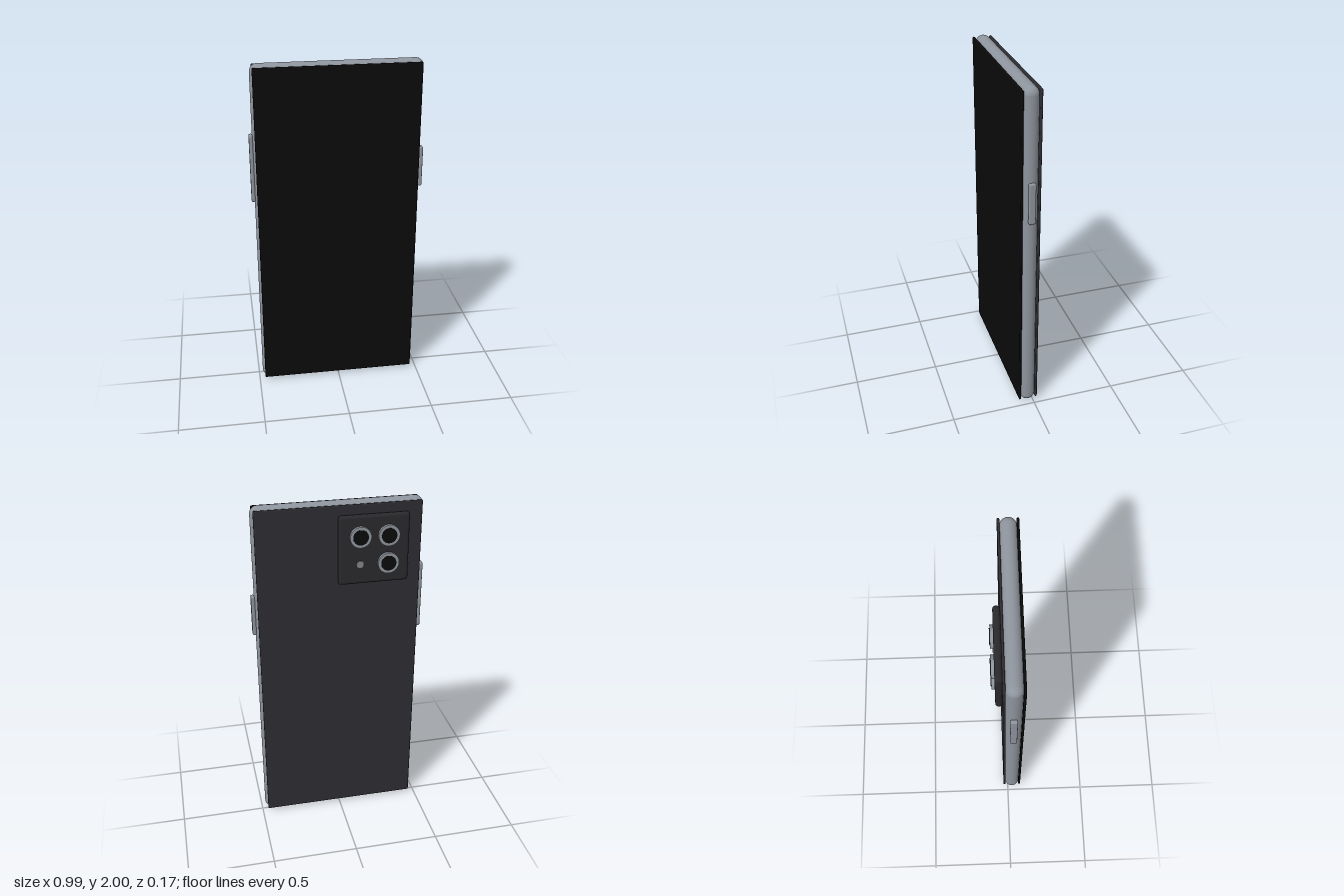
import * as THREE from 'three';
import { RoundedBoxGeometry } from 'three/addons/geometries/RoundedBoxGeometry.js';

const material = (name, color) => {
  const m = new THREE.MeshStandardMaterial({ color });
  m.name = name;
  return m;
};

export function createModel() {
  const phone = new THREE.Group();
  phone.name = 'phone';

  const metal = material('grey metal', 0x8e949d);
  const glass = material('black glass', 0x0a0a0a);
  const backPaint = material('dark back', 0x2d2c31);
  const cameraPaint = material('dark camera housing', 0x29292d);
  const flashPaint = material('flash grey', 0x85858a);

  const add = (name, geometry, mat, x, y, z, parent = phone) => {
    const mesh = new THREE.Mesh(geometry, mat);
    mesh.name = name;
    mesh.position.set(x, y, z);
    parent.add(mesh);
    return mesh;
  };
  const rounded = (w, h, d, r, segments = 4) => new RoundedBoxGeometry(w, h, d, segments, r);
  // disc whose axis runs front to back
  const disc = (r, depth) => new THREE.CylinderGeometry(r, r, depth, 40).rotateX(Math.PI / 2);

  // frame with fully rounded edges, between the two glass plates
  const midZ = 0.028;
  add('frame', rounded(0.957, 2, 0.09, 0.0445, 8), metal, 0, 1, midZ);
  add('screen', rounded(0.932, 1.974, 0.014, 0.0065), glass, 0, 1, 0.078);
  add('backPanel', rounded(0.932, 1.974, 0.014, 0.0065), backPaint, 0, 1, -0.022);

  // side buttons
  add('leftButton', rounded(0.022, 0.24, 0.039, 0.008), metal, 0.486, 1.365, midZ);
  add('rightButton', rounded(0.022, 0.4, 0.039, 0.008), metal, -0.486, 1.405, midZ);

  // camera island on the back
  const camera = new THREE.Group();
  camera.name = 'camera';
  camera.position.set(-0.187, 1.737, 0);
  phone.add(camera);
  add('cameraHousing', rounded(0.4, 0.396, 0.038, 0.017, 6), cameraPaint, 0, 0, -0.046, camera);

  // three lenses and a flash on a square grid
  const step = 0.08;
  for (const [i, j] of [[1, 1], [-1, 1], [-1, -1]]) {
    add('lensRing', disc(0.06, 0.019), metal, i * step, j * step, -0.0725, camera);
    add('lensGlass', disc(0.043, 0.006), glass, i * step, j * step, -0.082, camera);
  }
  add('flash', disc(0.02, 0.008), flashPaint, step, -step, -0.066, camera);

  return phone;
}
